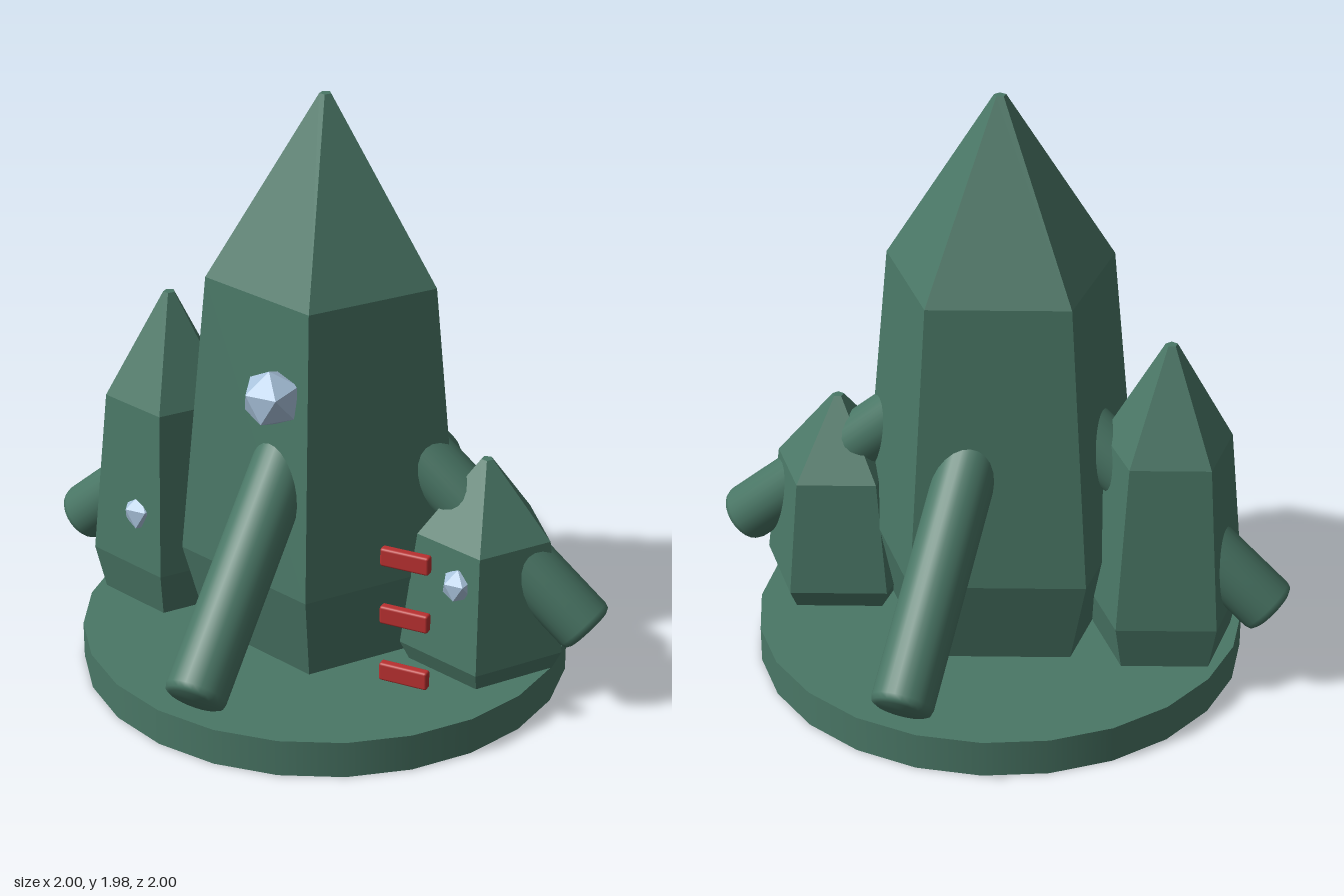
import * as THREE from 'three';
import { toCreasedNormals } from 'three/addons/utils/BufferGeometryUtils.js';
import { RoundedBoxGeometry } from 'three/addons/geometries/RoundedBoxGeometry.js';

const material = (name, color) => {
  const m = new THREE.MeshStandardMaterial({ color });
  m.name = name;
  return m;
};

const lathe = (points, sides, start = 0) =>
  new THREE.LatheGeometry(points.map(([r, y]) => new THREE.Vector2(r, y)), sides, start);

// Five-sided faceted spire; profile is [radius, height] from the bottom up
function crystalGeometry(profile) {
  const top = profile[profile.length - 1][1];
  const g = lathe([[0, profile[0][1]], ...profile, [0, top]], 5, Math.PI / 2).toNonIndexed();
  g.computeVertexNormals();
  return g;
}

// Icosahedron turned so one face looks forward with a corner pointing down
function gemGeometry(radius) {
  const g = new THREE.IcosahedronGeometry(radius, 0);
  const corner = i => new THREE.Vector3().fromBufferAttribute(g.attributes.position, i);
  const z = corner(0).add(corner(1)).add(corner(2)).normalize();
  const y = corner(0).addScaledVector(z, -corner(0).dot(z)).normalize().negate();
  const x = new THREE.Vector3().crossVectors(y, z);
  return g.applyMatrix4(new THREE.Matrix4().makeBasis(x, y, z).invert());
}

export function createModel() {
  const model = new THREE.Group();
  const green = material('crystal green', 0x4a7766);
  const blue = material('pale gem blue', 0xa9c3dc);
  const red = material('marker red', 0xb93030);

  const add = (name, geometry, mat, x, y, z, parent = model) => {
    const mesh = new THREE.Mesh(geometry, mat);
    mesh.name = name;
    mesh.position.set(x, y, z);
    parent.add(mesh);
    return mesh;
  };

  // Round base
  add('base', new THREE.CylinderGeometry(0.82, 0.82, 0.125, 24), green, 0, 0.0625, 0);

  // Three crystals
  add('mainCrystal', crystalGeometry(
    [[0.4, 0.11], [0.484, 0.43], [0.389, 1.39], [0.02, 1.98]]), green, 0, 0, 0);
  add('rightCrystal', crystalGeometry(
    [[0.24, 0.11], [0.279, 0.28], [0.222, 0.85], [0.02, 1.21]]), green, -0.575, 0, 0);
  add('leftCrystal', crystalGeometry(
    [[0.24, 0.11], [0.279, 0.19], [0.226, 0.585], [0.02, 0.835]]), green, 0.575, 0, 0);

  // Four sloping rods with softened outer ends
  const rod = toCreasedNormals(lathe(
    [[0, 0], [0.08, 0], [0.095, 0.008], [0.1, 0.025], [0.1, 0.97], [0, 0.97]], 24), 0.9);
  ['frontRod', 'leftRod', 'backRod', 'rightRod'].forEach((name, i) => {
    const arm = new THREE.Group();
    arm.name = name + 'Arm';
    arm.rotation.y = i * Math.PI / 2;
    model.add(arm);
    add(name, rod, green, 0, 0.298, 0.942, arm).rotation.x = -0.864;
  });

  // Gems set into the front faces
  add('mainGem', gemGeometry(0.1), blue, 0, 1.095, 0.388);
  add('rightGem', gemGeometry(0.07), blue, -0.597, 0.47, 0.178);
  add('leftGem', gemGeometry(0.06), blue, 0.565, 0.465, 0.19);

  // Stack of red bars
  const bar = new RoundedBoxGeometry(0.165, 0.062, 0.032, 2, 0.008);
  [0.255, 0.46, 0.665].forEach((y, i) => add('bar' + (i + 1), bar, red, 0.493, y, 0.453));

  return model;
}
